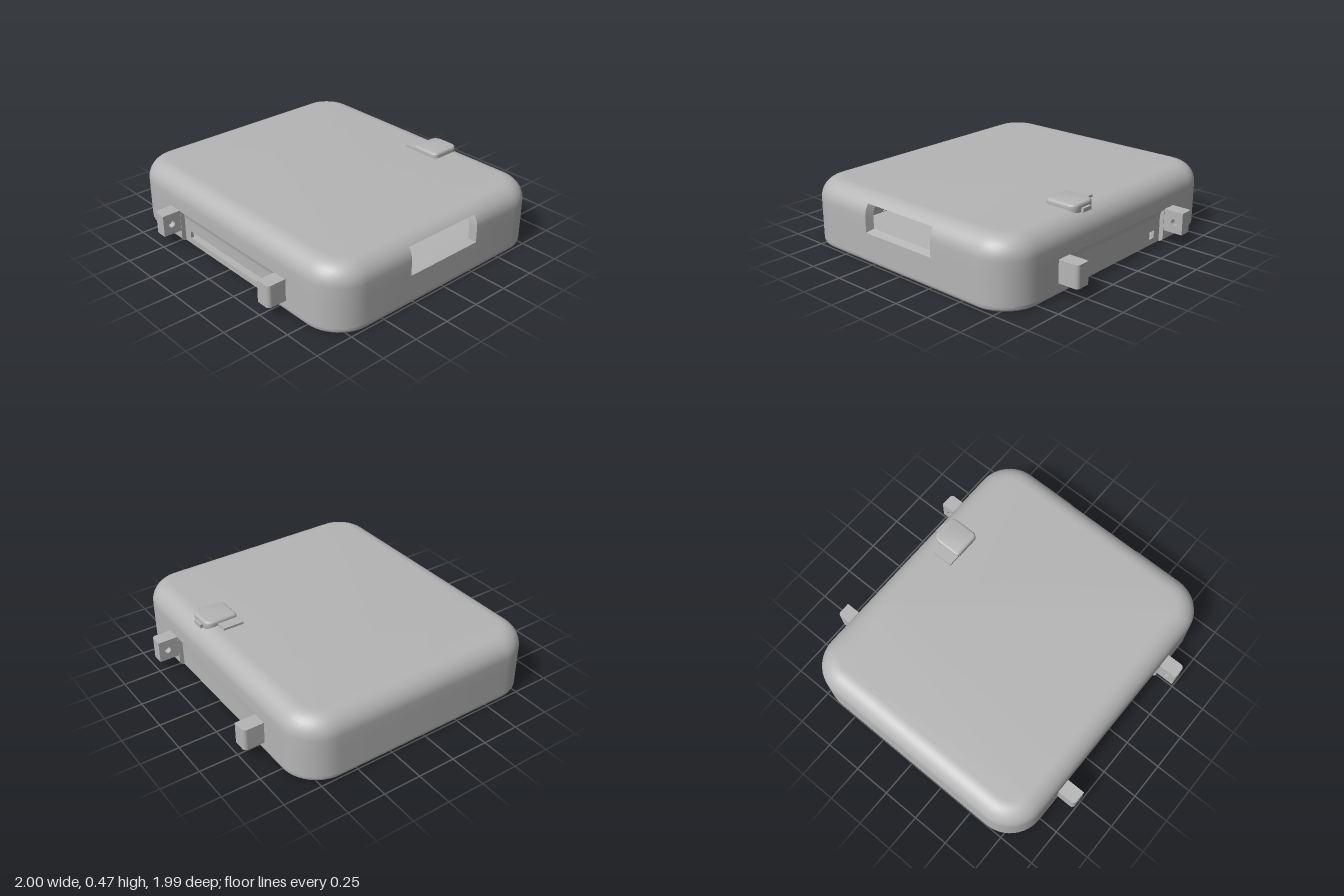
import * as THREE from 'three';
import { mergeGeometries, toCreasedNormals } from 'three/addons/utils/BufferGeometryUtils.js';

const R = 0.24, ZF = 0.87, ZB = -0.86, WALL = 0.05;
const casing = new THREE.MeshStandardMaterial({ color: 0xb5b5b5, side: THREE.DoubleSide });
casing.name = 'casing grey';

// Openings: [axis face, low, high, yLow, yHigh]
const outerHoles = [['x+', -0.27, 0.29, 0.2, 0.38], ['z+', -0.42, 0.42, 0.04, 0.09], ['z-', -0.42, -0.37, 0.04, 0.09]];
const innerHoles = [['x+', -0.255, 0.275, 0.215, 0.375], outerHoles[1], outerHoles[2]];

const outer = { y0: 0, y1: 0.43, top: 0.13, bottom: 0.03, wall: 0, recess: true, holes: outerHoles };
const inner = { y0: 0.035, y1: 0.38, top: 0.08, bottom: 0, wall: WALL, recess: false, holes: innerHoles };

// How far the shell draws in at height y because of its rounded edges
function inset(s, y) {
  const t = y - (s.y1 - s.top), b = s.y0 + s.bottom - y;
  if (t > 0) return s.wall + s.top - Math.sqrt(Math.max(0, s.top ** 2 - t * t));
  if (b > 0) return s.wall + s.bottom - Math.sqrt(Math.max(0, s.bottom ** 2 - b * b));
  return s.wall;
}

// Strap recess: upright wall that curves outward at its top
function recessDepth(y) {
  if (y >= 0.22) return 0;
  const t = Math.max(0, (y - 0.16) / 0.06);
  return 0.03 * Math.sqrt(1 - t * t);
}

// Columns round the plan, from +x towards +z
function columns() {
  const cols = [];
  const corner = (sx, sz, from) => {
    for (let k = 0; k <= 12; k++) {
      const a = from + (k / 12) * Math.PI / 2;
      cols.push({ x: sx * (1 - R), z: sz > 0 ? ZF - R : ZB + R, nx: Math.cos(a), nz: Math.sin(a) });
    }
  };
  const end = (s) => [0.48, 0.48, 0.42, -0.37, -0.42, -0.48, -0.48].map((x, i) => ({
    x, z: s > 0 ? ZF - R : ZB + R, nx: 0, nz: s, rec: i > 0 && i < 6, face: s > 0 ? 'z+' : 'z-' }));
  for (const z of [-0.27, -0.255, 0.275, 0.29]) cols.push({ x: 1 - R, z, nx: 1, nz: 0, face: 'x+' });
  corner(1, 1, 0);
  cols.push(...end(1));
  corner(-1, 1, Math.PI / 2);
  corner(-1, -1, Math.PI);
  cols.push(...end(-1).reverse());
  corner(1, -1, Math.PI * 1.5);
  return cols;
}

function surfacePoint(s, c, y) {
  let d = R - inset(s, y);
  if (s.recess && c.rec) d = Math.min(d, R - recessDepth(y));
  return new THREE.Vector3(c.x + c.nx * d, y, c.z + c.nz * d);
}

function levels(s) {
  const ys = [s.y0, 0.04, 0.09, 0.16, 0.17, 0.18, 0.19, 0.2, 0.21, 0.215, 0.2185, 0.22];
  for (const h of s.holes) ys.push(h[3], h[4]);
  for (let k = 0; k <= 10; k++) {
    ys.push(s.y1 - s.top + s.top * Math.sin(k * Math.PI / 20));
    if (s.bottom && k % 2 === 0) ys.push(s.y0 + s.bottom * (1 - Math.cos(k * Math.PI / 20)));
  }
  return ys.sort((a, b) => a - b).filter((y, i) => i === 0 || y - ys[i - 1] > 1e-5);
}

function fromTriangles(pos) {
  const g = new THREE.BufferGeometry();
  g.setAttribute('position', new THREE.Float32BufferAttribute(pos, 3));
  return g;
}

function addTri(pos, a, b, c) {
  const n = b.clone().sub(a).cross(c.clone().sub(a));
  if (n.length() > 1e-9) for (const p of [a, b, c]) pos.push(p.x, p.y, p.z);
}

function addQuad(pos, a, b, c, d) { addTri(pos, a, b, c); addTri(pos, a, c, d); }

// Flat cover across one ring, with optional round holes
function cap(ring, up, circles = []) {
  const s = up ? -1 : 1;
  const pts = ring.filter((p, i) => i === 0 || p.distanceTo(ring[i - 1]) > 1e-5).map((p) => new THREE.Vector2(p.x, s * p.z));
  const shape = new THREE.Shape(pts);
  for (const [x, z, r] of circles) shape.holes.push(new THREE.Path().absarc(x, s * z, r, 0, Math.PI * 2, true));
  const g = new THREE.ShapeGeometry(shape, 24).rotateX(s * Math.PI / 2).translate(0, ring[0].y, 0).toNonIndexed();
  g.deleteAttribute('uv');
  g.deleteAttribute('normal');
  return g;
}

// One skin of the case, leaving the openings free
function skin(s, circles) {
  const cols = columns(), ys = levels(s), pos = [];
  const rings = ys.map((y) => cols.map((c) => surfacePoint(s, c, y)));
  for (let j = 0; j < ys.length - 1; j++) {
    for (let i = 0; i < cols.length; i++) {
      const k = (i + 1) % cols.length, my = (ys[j] + ys[j + 1]) / 2;
      const f = cols[i].face, mid = f === 'x+' ? (cols[i].z + cols[k].z) / 2 : (cols[i].x + cols[k].x) / 2;
      const open = f && f === cols[k].face && s.holes.some((h) => h[0] === f && mid > h[1] && mid < h[2] && my > h[3] && my < h[4]);
      if (!open) addQuad(pos, rings[j][i], rings[j + 1][i], rings[j + 1][k], rings[j][k]);
    }
  }
  const parts = [fromTriangles(pos), cap(rings[0], false, circles), cap(rings[rings.length - 1], true)];
  return toCreasedNormals(mergeGeometries(parts), 0.5);
}

// Rim of an opening as a closed loop on a skin
function rim(s, [face, lo, hi, y0, y1]) {
  const pts = [], n = 10;
  const at = (v, y) => surfacePoint(s, face === 'x+' ? { x: 1 - R, z: v, nx: 1, nz: 0 }
    : { x: v, z: face === 'z+' ? ZF - R : ZB + R, nx: 0, nz: face === 'z+' ? 1 : -1, rec: true }, y);
  for (let k = 0; k <= n; k++) pts.push(at(lo, y0 + (y1 - y0) * k / n));
  for (let k = 0; k <= n; k++) pts.push(at(hi, y1 + (y0 - y1) * k / n));
  return pts;
}

function jamb(i) {
  const a = rim(outer, outerHoles[i]), b = rim(inner, innerHoles[i]), pos = [];
  a.forEach((p, k) => { const m = (k + 1) % a.length; addQuad(pos, p, a[m], b[m], b[k]); });
  return toCreasedNormals(fromTriangles(pos), 0.5);
}

// Rectangle with four separate corner radii (lower left, lower right, upper right, upper left)
function roundedShape(x0, y0, x1, y1, [a, b, c, d]) {
  const s = new THREE.Shape().moveTo(x0 + a, y0).lineTo(x1 - b, y0);
  if (b) s.absarc(x1 - b, y0 + b, b, -Math.PI / 2, 0);
  s.lineTo(x1, y1 - c);
  if (c) s.absarc(x1 - c, y1 - c, c, 0, Math.PI / 2);
  s.lineTo(x0 + d, y1);
  if (d) s.absarc(x0 + d, y1 - d, d, Math.PI / 2, Math.PI);
  s.lineTo(x0, y0 + a);
  if (a) s.absarc(x0 + a, y0 + a, a, Math.PI, Math.PI * 1.5);
  return s;
}

export function createModel() {
  const model = new THREE.Group();
  const add = (name, geometry, parent = model) => {
    const m = new THREE.Mesh(geometry, casing);
    m.name = name;
    parent.add(m);
    return m;
  };

  // Hollow case
  const screws = [];
  for (const z of [-0.325, 0.325]) for (const x of [-0.355, 0, 0.355]) screws.push([x, z, x ? 0.09 : 0.067]);
  add('caseShell', skin(outer, screws));
  add('caseLining', skin(inner));
  ['sideWindowFrame', 'frontSlotFrame', 'backSlotFrame'].forEach((name, i) => add(name, jamb(i)));
  for (const [x, z, r] of screws) {
    add('bottomWell', new THREE.CylinderGeometry(r, r, 0.035, 24, 1, true).translate(x, 0.0175, z));
  }

  // Strap lugs: an inner cheek with a pin hole and a rounded outer block
  for (const sx of [-1, 1]) {
    for (const sz of [-1, 1]) {
      const lug = new THREE.Group();
      lug.name = (sz > 0 ? 'front' : 'back') + (sx > 0 ? 'Left' : 'Right') + 'Lug';
      const cheek = roundedShape(-0.995, 0.08, -0.82, 0.225, [0, 0, 0, 0]);
      cheek.holes.push(new THREE.Path().absarc(-0.935, 0.15, 0.022, 0, Math.PI * 2, true));
      const cheekGeo = new THREE.ExtrudeGeometry(cheek, { depth: 0.04, bevelEnabled: false }).rotateY(Math.PI / 2);
      add('lugCheek', cheekGeo.translate(0.483, 0, 0), lug);
      const block = roundedShape(0.523, -0.995, 0.58, -0.82, [0, 0.025, 0, 0]);
      const blockGeo = new THREE.ExtrudeGeometry(block, { depth: 0.145, bevelEnabled: false });
      add('lugBlock', blockGeo.rotateX(-Math.PI / 2).translate(0, 0.08, 0), lug);
      lug.scale.set(sx, 1, sz);
      model.add(lug);
    }
  }

  // Catch on the lid
  const bevel = 0.016;
  const knob = roundedShape(0.17 + bevel, 0.575 + bevel, 0.37 - bevel, 0.795 - bevel, [0.008, 0.02, 0.035, 0.04]);
  const knobGeo = new THREE.ExtrudeGeometry(knob, { depth: 0.04, bevelSize: bevel, bevelThickness: bevel, bevelSegments: 5, curveSegments: 8 });
  add('catchKnob', toCreasedNormals(knobGeo.rotateX(-Math.PI / 2).translate(0, 0.409, 0), 0.6));
  add('catchPlate', new THREE.BoxGeometry(0.1, 0.03, 0.14).translate(0.147, 0.43, -0.648));
  add('catchTab', new THREE.BoxGeometry(0.075, 0.025, 0.04).translate(0.265, 0.425, -0.793));
  return model;
}
